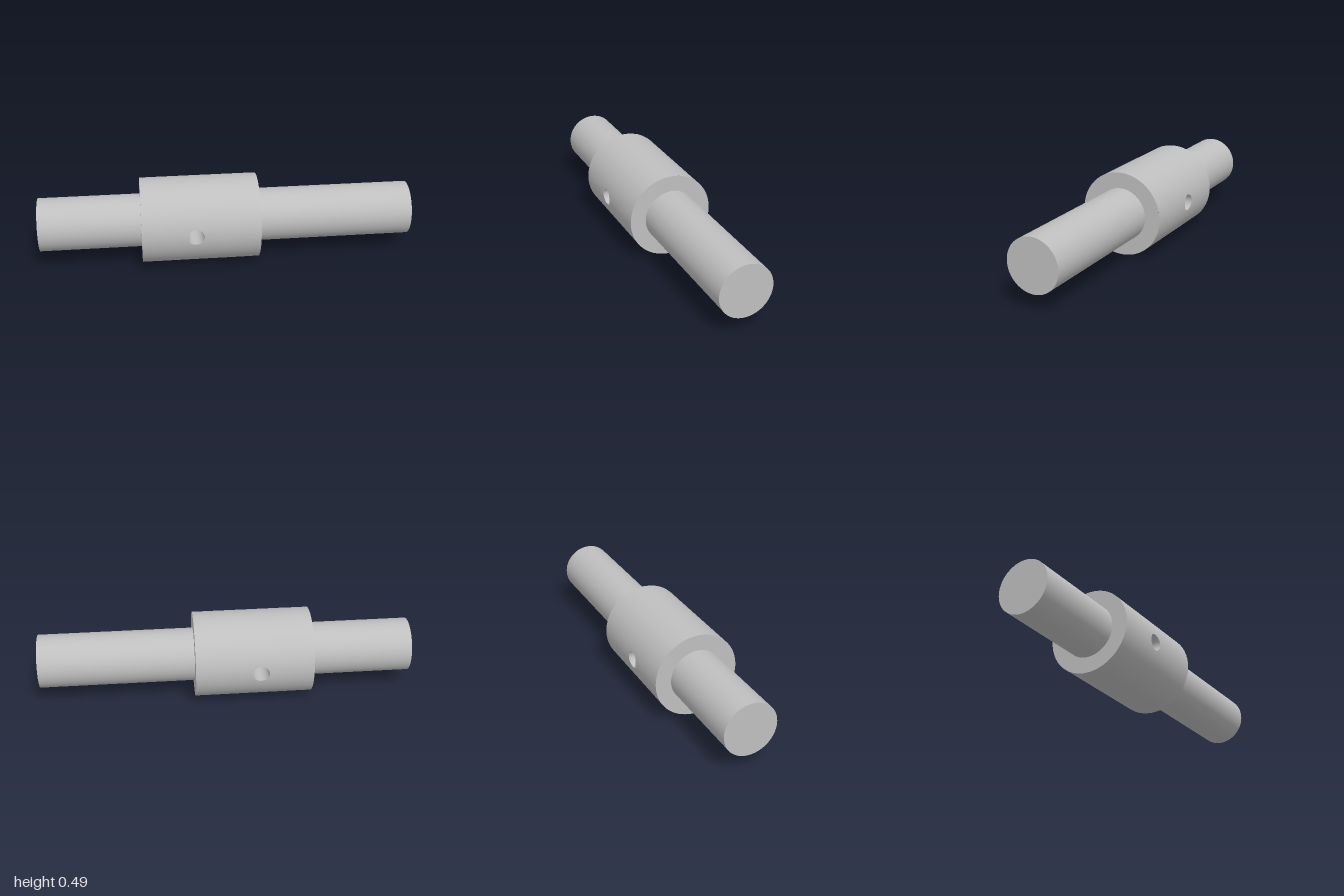
import * as THREE from 'three';
import { ParametricGeometry } from 'three/addons/geometries/ParametricGeometry.js';

export function createModel() {
  const metal = new THREE.MeshStandardMaterial({ color: 0xbfbfbf });
  metal.name = 'plain grey metal';

  const R = 0.243, shaftR = 0.152, holeR = 0.047;   // radii
  const end = 1.067, bodyMin = -0.488, bodyMax = 0.182, holeX = -0.186;
  const mid = (bodyMin + bodyMax) / 2, half = (bodyMax - bodyMin) / 2;
  const SIDES = 96;

  const model = new THREE.Group();
  model.name = 'steppedShaft';
  const add = (parent, name, geometry) => {
    const mesh = new THREE.Mesh(geometry, metal);
    mesh.name = name;
    parent.add(mesh);
    return mesh;
  };

  // Half of the collar's wall: lofted from the round hole out to the half's border
  const halfWall = (u, v, p) => {
    const t = v * Math.PI * 2, c = Math.cos(t), s = Math.sin(t);
    const m = Math.max(Math.abs(c), Math.abs(s));
    const x = THREE.MathUtils.lerp(holeX + holeR * c, mid + half * c / m, u);
    const a = THREE.MathUtils.lerp(Math.asin(holeR * s / R), Math.PI / 2 * s / m, u);
    p.set(x, R * Math.sin(a), R * Math.cos(a));
  };
  add(model, 'collarFront', new ParametricGeometry(halfWall, 16, SIDES));
  add(model, 'collarBack', new ParametricGeometry(halfWall, 16, SIDES)).rotation.x = Math.PI;

  // Cross hole running right through the collar, seen from inside
  const bore = (u, v, p) => {
    const t = v * Math.PI * 2, y = holeR * Math.sin(t);
    p.set(holeX + holeR * Math.cos(t), y, (2 * u - 1) * Math.sqrt(R * R - y * y));
  };
  add(model, 'crossHole', new ParametricGeometry(bore, 4, SIDES));

  // Each side: collar shoulder, shaft and flat shaft end, built facing +x
  const addSide = (name, start, turn) => {
    const side = new THREE.Group();
    side.name = name;
    side.rotation.y = turn;
    const length = end - start;
    add(side, 'shoulder', new THREE.RingGeometry(shaftR, R, SIDES)
      .rotateY(Math.PI / 2).translate(start, 0, 0));
    add(side, 'shaft', new THREE.CylinderGeometry(shaftR, shaftR, length, SIDES, 1, true)
      .rotateZ(-Math.PI / 2).translate(start + length / 2, 0, 0));
    add(side, 'shaftEnd', new THREE.CircleGeometry(shaftR, SIDES)
      .rotateY(Math.PI / 2).translate(end, 0, 0));
    model.add(side);
  };
  addSide('longSide', bodyMax, 0);
  addSide('shortSide', -bodyMin, Math.PI);

  // The axis lies level, turned 30 degrees
  model.rotation.y = Math.PI / 6;
  model.position.y = 0.246;
  const root = new THREE.Group();
  root.name = 'shaftWithCollar';
  root.add(model);
  return root;
}
